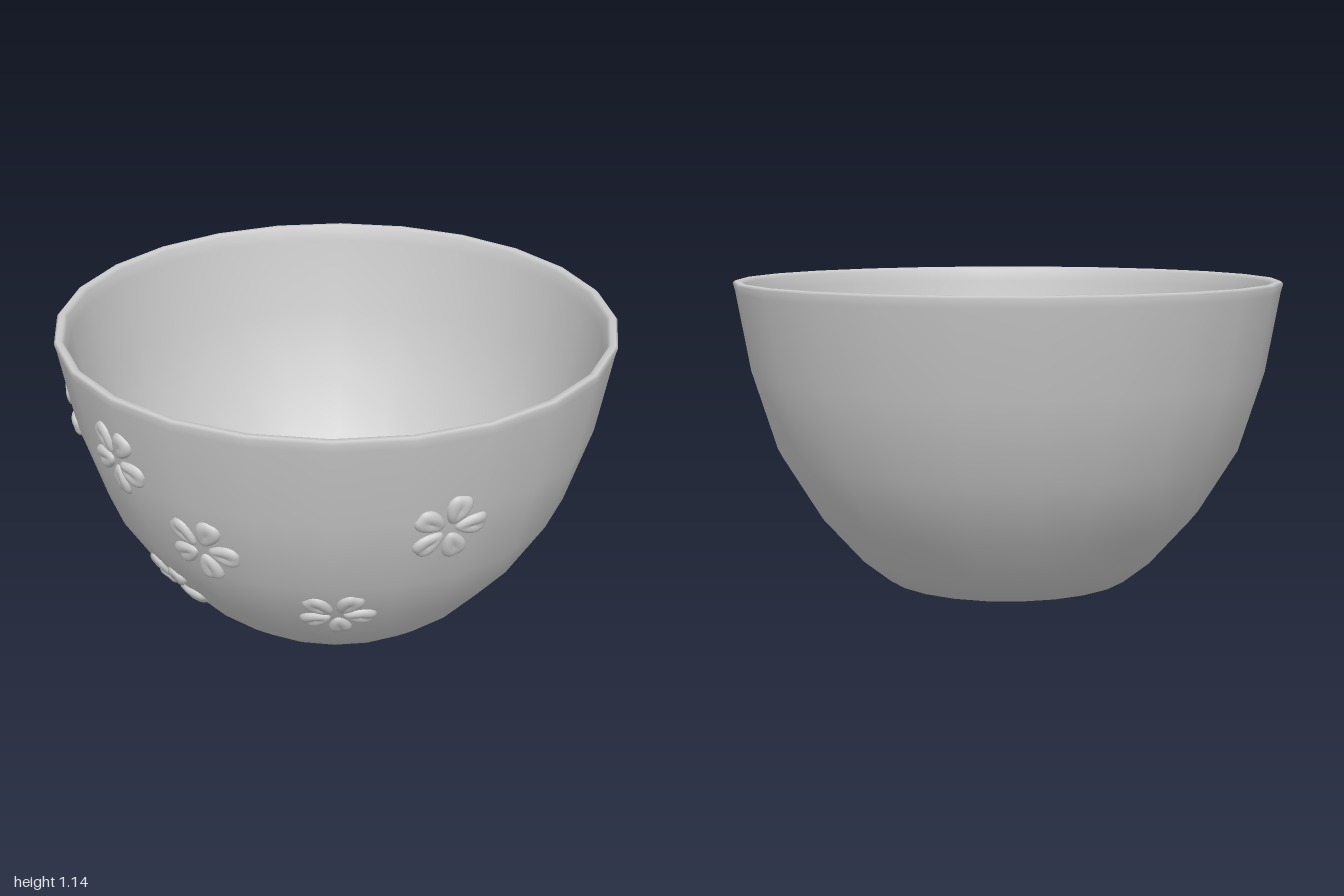
import * as THREE from 'three';

const SIDES = 24;
const material = new THREE.MeshStandardMaterial({ color: 0xcccccc });

// Outer wall from the foot to the rim, as [radius, height]
const outer = [
  [0, 0], [0.28, 0.004], [0.36, 0.015], [0.46, 0.04], [0.56, 0.12],
  [0.71, 0.29], [0.85, 0.52], [0.94, 0.81], [0.99, 1.1], [0.998, 1.13],
];
// Rim and inner wall, back down to the middle of the floor
const inner = [
  [0.99, 1.138], [0.972, 1.138], [0.961, 1.125], [0.95, 1.08], [0.9, 0.81], [0.81, 0.54],
  [0.67, 0.32], [0.53, 0.16], [0.43, 0.085], [0.34, 0.058], [0, 0.045],
];

// Radius of the outer wall at a height
function radiusAt(y) {
  let i = 1;
  while (i < outer.length - 1 && outer[i][1] < y) i++;
  const [r0, y0] = outer[i - 1], [r1, y1] = outer[i];
  return r0 + (r1 - r0) * (y - y0) / (y1 - y0);
}

// Point on the faceted wall at an angle and height, lifted outward by h
function wallPoint(phi, y, h) {
  const step = 2 * Math.PI / SIDES;
  const within = phi - Math.floor(phi / step) * step - step / 2;
  const facet = Math.cos(step / 2) / Math.cos(within);
  const tilt = Math.atan((radiusAt(y + 0.05) - radiusAt(y - 0.05)) / 0.1);
  const r = radiusAt(y) * facet + h * Math.cos(tilt);
  return [r * Math.sin(phi), y - h * Math.sin(tilt), r * Math.cos(phi)];
}

// One puffy petal, bent to follow the wall
function petalGeometry(phi0, y0, angle) {
  const rings = 7, around = 24, positions = [], indices = [];
  const r0 = radiusAt(y0);
  const slope = (radiusAt(y0 + 0.1) - radiusAt(y0 - 0.1)) / 0.2;
  const climb = 1 / Math.hypot(1, slope);
  for (let i = 0; i <= rings; i++) {
    const t = Math.sin(i / rings * Math.PI / 2);
    for (let j = 0; j < around; j++) {
      const a = j / around * 2 * Math.PI;
      // Narrow at the flower's heart, broad and slightly notched at the tip
      const notch = 1 - 0.1 * Math.exp(-((Math.min(a, 2 * Math.PI - a) / 0.3) ** 2));
      const along = 0.083 + 0.06 * t * Math.cos(a) * notch;
      const across = 0.05 * t * Math.sin(a) * (0.84 + 0.26 * Math.cos(a));
      const u = along * Math.cos(angle) - across * Math.sin(angle);
      const v = along * Math.sin(angle) + across * Math.cos(angle);
      const crease = 0.006 * Math.exp(-((across / 0.012) ** 2)) * (1 - t);
      const h = 0.022 * Math.sqrt(Math.max(0, 1 - t ** 4)) - 0.004 - crease;
      positions.push(...wallPoint(phi0 + u / r0, y0 + v * climb, h));
      if (i < rings) {
        const k = (j + 1) % around;
        const p = i * around + j, q = i * around + k;
        indices.push(p, p + around, q + around, p, q + around, q);
      }
    }
  }
  const geometry = new THREE.BufferGeometry();
  geometry.setAttribute('position', new THREE.Float32BufferAttribute(positions, 3));
  geometry.setIndex(indices);
  geometry.computeVertexNormals();
  return geometry;
}

export function createModel() {
  const model = new THREE.Group();
  model.name = 'flowerBowl';

  // Bowl wall, rim and floor in one turned shell
  const profile = [...outer, ...inner].map(([r, y]) => new THREE.Vector2(r, y));
  const bowl = new THREE.Mesh(new THREE.LatheGeometry(profile, SIDES), material);
  bowl.name = 'bowl';
  model.add(bowl);

  // Raised flowers: angle around the bowl, height, rotation of the first petal (degrees)
  const flowers = [
    [-37, 0.83, 62], [-3.5, 0.885, 54], [16, 0.63, 65],
    [-6, 0.305, 54], [46, 0.365, 62], [69, 0.75, 75],
  ];
  flowers.forEach(([around, y, turn], n) => {
    const flower = new THREE.Group();
    flower.name = `flower${n + 1}`;
    for (let i = 0; i < 5; i++) {
      const angle = THREE.MathUtils.degToRad(turn + i * 72);
      const petal = new THREE.Mesh(petalGeometry(THREE.MathUtils.degToRad(around), y, angle), material);
      petal.name = 'petal';
      flower.add(petal);
    }
    model.add(flower);
  });
  return model;
}
